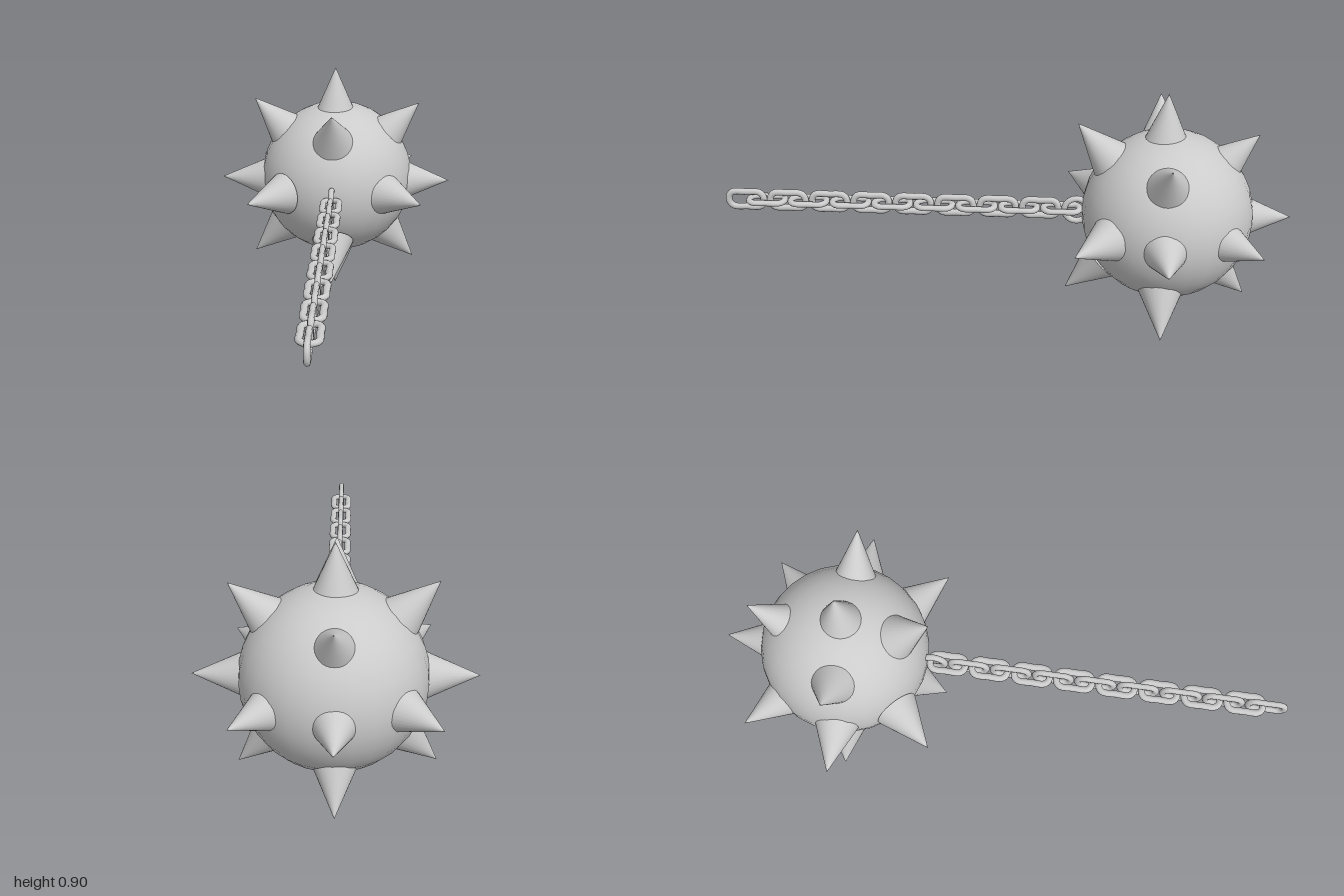
import * as THREE from 'three';

const material = new THREE.MeshStandardMaterial({ color: 0xcccccc });
const UP = new THREE.Vector3(0, 1, 0);

function addMesh(parent, name, geometry) {
  const mesh = new THREE.Mesh(geometry, material);
  mesh.name = name;
  parent.add(mesh);
  return mesh;
}

// Closed oval link lying in the YZ plane, long axis along z, slightly flattened in x
function linkGeometry() {
  const outline = [
    [0.061, 0.014], [0.047, 0.028], [0, 0.029], [-0.047, 0.028],
    [-0.061, 0.014], [-0.061, -0.014], [-0.047, -0.028], [0, -0.029],
    [0.047, -0.028], [0.061, -0.014],
  ].map(([z, y]) => new THREE.Vector3(0, y, z));
  const path = new THREE.CatmullRomCurve3(outline, true, 'centripetal');
  return new THREE.TubeGeometry(path, 40, 0.012, 10, true).scale(0.85, 1, 1);
}

export function createModel() {
  const model = new THREE.Group();
  model.name = 'spikedBallAndChain';

  // Ball
  addMesh(model, 'ball', new THREE.SphereGeometry(0.297, 28, 18)).position.set(0.005, 0.462, -0.569);

  // Spikes point out from a shared centre, each given by its tip offset
  const spikes = new THREE.Group();
  spikes.name = 'spikes';
  model.add(spikes);
  const centre = new THREE.Vector3(0, 0.455, -0.55);
  const spikeLength = 0.183;
  const coneGeometry = new THREE.ConeGeometry(0.08, spikeLength, 28).translate(0, -spikeLength / 2, 0);
  const tips = [
    [0.45, 0, 0], [-0.45, 0, 0], [0, 0.45, 0], [0, -0.45, 0], [0, 0, -0.45],
    [0.325, 0.315, 0], [-0.315, 0.325, 0], [0.315, -0.325, 0], [-0.325, -0.315, 0],
    [0, 0.335, 0.3], [0, -0.315, 0.33], [0, 0.31, -0.315], [0, -0.315, -0.315],
    [0.335, 0, 0.3], [-0.315, 0, 0.33], [0.308, 0, -0.32], [-0.318, 0, -0.318],
  ];
  for (const tip of tips) {
    const offset = new THREE.Vector3(...tip);
    const spike = addMesh(spikes, 'spike', coneGeometry);
    spike.position.copy(centre).add(offset);
    spike.quaternion.setFromUnitVectors(UP, offset.normalize());
  }

  // Ring fixed to the ball
  const ring = addMesh(model, 'ballRing', new THREE.TorusGeometry(0.043, 0.011, 10, 32));
  ring.rotation.y = Math.PI / 2;
  ring.position.set(0, 0.459, -0.254);

  // Chain of links, each turned a quarter from the last
  const chain = new THREE.Group();
  chain.name = 'chain';
  model.add(chain);
  const geometry = linkGeometry();
  for (let i = 0; i < 16; i++) {
    const link = addMesh(chain, 'chainLink', geometry);
    link.position.set(0, 0.463, 0.927 - i * 0.0752);
    link.rotation.z = (i % 2) * Math.PI / 2;
  }
  return model;
}
